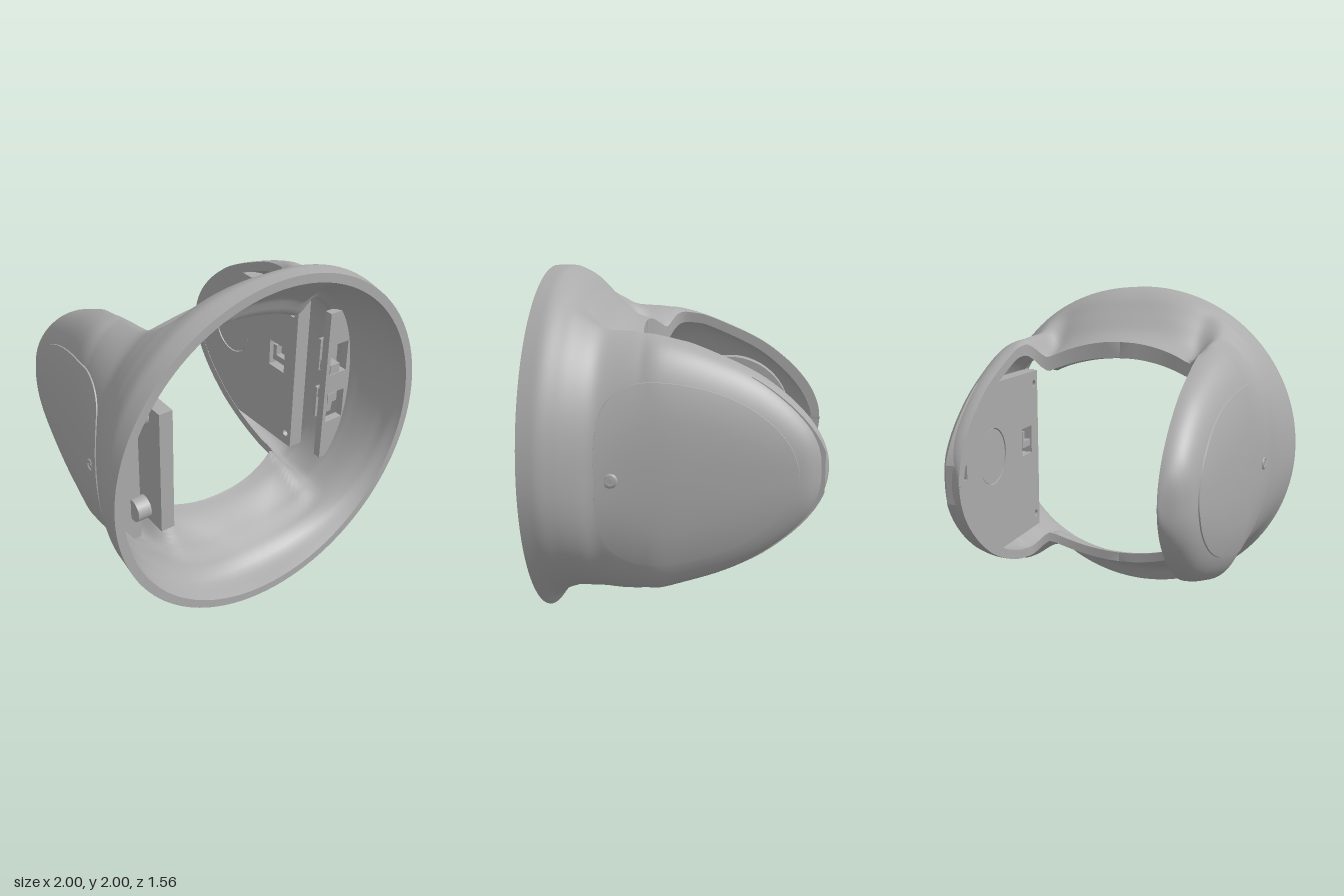
import * as THREE from 'three';

const grey = new THREE.MeshStandardMaterial({ color: 0xababab, side: THREE.DoubleSide });
grey.name = 'satin grey';

// Monotone cubic interpolation of [z, value] stations, listed from front to back
function curve(st) {
  const d = st.slice(1).map((p, i) => (p[1] - st[i][1]) / (p[0] - st[i][0]));
  const m = st.map((p, i) => {
    if (i === 0) return d[0];
    if (i === st.length - 1) return d[i - 1];
    return d[i - 1] * d[i] <= 0 ? 0 : (2 * d[i - 1] * d[i]) / (d[i - 1] + d[i]);
  });
  return (z) => {
    let i = 0;
    while (i < st.length - 2 && z < st[i + 1][0]) i++;
    const h = st[i + 1][0] - st[i][0];
    const t = Math.min(1, Math.max(0, (z - st[i][0]) / h)), u = 1 - t;
    return st[i][1] * (1 + 2 * t) * u * u + h * m[i] * t * u * u +
      st[i + 1][1] * t * t * (3 - 2 * t) - h * m[i + 1] * t * t * u;
  };
}

// Half width, heights above and below the axis, roundness and flat half width
const tail = [[-0.2, 0.595], [-0.4, 0.5], [-0.54, 0.4], [-0.645, 0.3], [-0.72, 0.2], [-0.765, 0.1], [-0.776, 0.05], [-0.78, 0.002]];
const width = curve([[0.78, 1], [0.7, 1], [0.6, 0.975], [0.5, 0.935], [0.4, 0.888], [0, 0.83], [-0.4, 0.765], [-0.65, 0.71], [-0.73, 0.65], [-0.78, 0.556]]);
const above = curve([[0.78, 1], [0.7, 1], [0.58, 0.945], [0.48, 0.86], [0.37, 0.775], [0.2, 0.72], [0, 0.67], ...tail]);
const below = curve([[0.78, 1], [0.7, 0.89], [0.63, 0.845], [0.5, 0.805], [0.2, 0.72], [0, 0.66], ...tail]);
const power = curve([[0.78, 2], [0.5, 2.25], [0.2, 2.6], [-0.78, 2.4]]);
const flat = curve([[0.78, 0], [0.6, 0.05], [0.45, 0.2], [0.3, 0.36], [0.15, 0.49], [0.05, 0.55], [-0.78, 0.55]]);
const wall = curve([[0.78, 0.05], [0.7, 0.07], [0.4, 0.06], [-0.78, 0.05]]);
const roofWall = curve([[0.78, 0.05], [0.6, 0.06], [0.41, 0.075], [0.36, 0.14], [0.25, 0.095], [0, 0.06], [-0.78, 0.05]]);

// Saddle between the arms: sinks towards the foot of each arm
const saddleDepth = curve([[0.78, 0], [0.62, 0], [0.5, 0.05], [0.3, 0.13], [0.08, 0.12], [-0.05, 0], [-0.78, 0]]);
function saddle(x, z) {
  const t = Math.min(1, Math.max(0, (x - 0.44) / 0.14));
  const arc = 0.3 + 0.7 * Math.pow(Math.min(1, x / 0.44), 2);
  return saddleDepth(z) * arc * (1 - t * t * (3 - 2 * t));
}

// Half width of the rounded slot between the arms
const slot = (z) => z >= 0.25 ? 0 : z <= 0.05 ? 0.55 : 0.55 * Math.pow(1 - Math.pow((z - 0.05) / 0.2, 2.5), 0.4);

// Grid of points to a smooth surface
function loft(rows) {
  const n = rows[0].length, index = [];
  for (let i = 0; i < rows.length - 1; i++) {
    for (let j = 0; j < n - 1; j++) {
      const a = i * n + j, b = a + n;
      index.push(a, b, a + 1, a + 1, b, b + 1);
    }
  }
  const g = new THREE.BufferGeometry();
  g.setAttribute('position', new THREE.Float32BufferAttribute(rows.flat(2), 3));
  g.setIndex(index);
  g.computeVertexNormals();
  return g;
}

function add(parent, name, geometry, x = 0, y = 0, z = 0) {
  const mesh = new THREE.Mesh(geometry, grey);
  mesh.name = name;
  mesh.position.set(x, y, z);
  parent.add(mesh);
}

// Half of a cross-section, from the top slot edge round the side to the bottom one
function section(z, side, inner) {
  const c = Math.max(flat(z), slot(z)), e = 2 / power(z), pts = [];
  const a = Math.max(width(z) - (inner ? wall(z) : 0), c + 0.003);
  const zz = inner && z < 0 ? z * 0.94 : z;
  for (const s of [1, -1]) {
    const t = inner ? (s > 0 ? roofWall(z) : wall(z)) : 0;
    const b = Math.max((s > 0 ? above : below)(z) - t, 0.001);
    const half = [];
    const put = (x, y) => half.push([side * x, 1 + s * (y - saddle(x, z)), zz]);
    for (let i = 0; i < 14; i++) put(slot(z) + (c - slot(z)) * i / 14, b);
    for (let i = 0; i <= 36; i++) {
      const q = (i / 36) * Math.PI / 2;
      put(c + (a - c) * Math.pow(Math.sin(q), e), b * Math.pow(Math.max(0, Math.cos(q)), e));
    }
    pts.push(...(s > 0 ? half : half.reverse().slice(1)));
  }
  return pts;
}

const stations = [];
for (let i = 0; i < 32; i++) stations.push(0.78 - 0.53 * i / 32);
for (let i = 0; i <= 14; i++) stations.push(0.05 + 0.2 * Math.pow(Math.max(0, Math.cos(i / 14 * Math.PI / 2)), 0.8));
for (let i = 1; i <= 32; i++) stations.push(0.05 - 0.83 * Math.sin(i / 32 * Math.PI / 2));

// Extruded (z, y) outline, thickness running along x
function plateX(shape, depth) {
  return new THREE.ExtrudeGeometry(shape, { depth, bevelEnabled: false, curveSegments: 32 }).rotateY(Math.PI / 2);
}
const outline = (pts) => new THREE.Shape(pts.map(([z, y]) => new THREE.Vector2(-z, y)));
const roundHole = (z, y, r) => new THREE.Path().absarc(-z, y, r, 0, Math.PI * 2, true);
const boxHole = (x, y, w, h) => new THREE.Path([[-1, -1], [-1, 1], [1, 1], [1, -1]].map(([i, j]) => new THREE.Vector2(x + i * w / 2, y + j * h / 2)));
const rodX = (r, len) => new THREE.CylinderGeometry(r, r, len, 24).rotateZ(Math.PI / 2);
const ringX = (r0, r1, len) => new THREE.LatheGeometry(
  [[r0, -len / 2], [r1, -len / 2], [r1, len / 2], [r0, len / 2], [r0, -len / 2]].map(([r, h]) => new THREE.Vector2(r, h)), 40).rotateZ(Math.PI / 2);

function shellHalf(parent, side) {
  const outer = stations.map((z) => section(z, side, false));
  const inner = stations.map((z) => section(z, side, true));
  for (const [name, rows] of [['outerShell', outer], ['innerShell', inner]]) {
    const g = loft(rows), p = g.attributes.position, n = g.attributes.normal;
    for (let i = 0; i < p.count; i++) if (Math.abs(p.getX(i)) < 1e-5) n.setX(i, 0);
    add(parent, name, g);
  }
  add(parent, 'frontRim', loft([outer[0], inner[0]]));
  const last = outer[0].length - 1;
  for (const j of [0, last]) add(parent, 'slotRim', loft([outer.map((r) => r[j]), inner.map((r) => r[j])]));
}

// Egg-shaped access panel that follows the outside of the arm
function sidePanel(parent, side) {
  const half = [[0.41, 0], [0.408, 0.2], [0.36, 0.38], [0.24, 0.47], [0.08, 0.488], [-0.2, 0.43], [-0.4, 0.33], [-0.55, 0.19], [-0.605, 0.08], [-0.62, 0]];
  const loop = [...half, ...half.slice(1, -1).reverse().map(([z, y]) => [z, -y])];
  const edge = new THREE.CatmullRomCurve3(loop.map(([z, y]) => new THREE.Vector3(0, y, z)), true).getPoints(96);
  const ring = (k, lift) => edge.map((p) => {
    const z = -0.05 + (p.z + 0.05) * k, y = p.y * k;
    const b = (y > 0 ? above : below)(z), c = Math.max(flat(z), slot(z)), n = power(z);
    const x = c + (width(z) - c) * Math.pow(Math.max(0, 1 - Math.pow(Math.abs(y) / b, n)), 1 / n);
    return [side * (x + lift), 1 + y, z];
  });
  add(parent, 'sidePanel', loft([0.001, 0.2, 0.4, 0.6, 0.75, 0.9, 1].map((k) => ring(k, 0.007))));
  add(parent, 'panelEdge', loft([ring(1, 0.007), ring(1.008, -0.01)]));
  add(parent, 'panelScrew', ringX(0.022, 0.038, 0.02), side * (width(0.33) + 0.002), 1, 0.33);
  add(parent, 'screwCore', rodX(0.014, 0.02), side * (width(0.33) + 0.001), 1, 0.33);
}

// Wall across the front of the arm cavity, with two pockets on one side
function bulkhead(parent, side) {
  const s = new THREE.Shape([[0.65, 0.48], [0.77, 0.48], [0.83, 0.7], [0.86, 1], [0.83, 1.3], [0.77, 1.48], [0.65, 1.48]].map(([x, y]) => new THREE.Vector2(side * x, y)));
  if (side > 0) for (const y of [0.835, 1.165]) s.holes.push(boxHole(0.74, y, 0.13, 0.2));
  add(parent, 'bulkhead', new THREE.ExtrudeGeometry(s, { depth: 0.05, bevelEnabled: false }), 0, 0, 0.38);
  for (const d of [-1, 1]) {
    if (side > 0) {
      add(parent, 'pocketFloor', new THREE.BoxGeometry(0.14, 0.21, 0.02), 0.74, 1 + d * 0.165, 0.33);
      add(parent, 'pocketPeg', new THREE.BoxGeometry(0.07, 0.06, 0.1), 0.715, 1 + d * 0.1, 0.38);
    } else add(parent, 'screwBoss', rodX(0.065, 0.08), -0.67, 1 + d * 0.3, 0.45);
  }
}

// Closed cover on the inside of the left arm
function innerCover(parent) {
  const zs = [0.26];
  for (let i = 0; i <= 32; i++) zs.push(0.2 - 0.955 * Math.sin(i / 32 * Math.PI / 2));
  const h = (z) => Math.min(0.5, Math.max(0.01, below(z) - 0.02));
  const s = outline([...zs.map((z) => [z, 1 + h(z)]), ...zs.reverse().map((z) => [z, 1 - h(z)])]);
  s.holes.push(roundHole(-0.37, 1.08, 0.165), boxHole(-0.09, 1.08, 0.14, 0.17), boxHole(0.7, 1.06, 0.035, 0.08));
  for (const d of [-1, 1]) s.holes.push(roundHole(0.21, 1 + d * 0.42, 0.022));
  add(parent, 'innerCover', plateX(s, 0.09), 0.552);
  add(parent, 'coverCap', rodX(0.16, 0.04), 0.576, 1.08, -0.37);
  add(parent, 'coverBack', new THREE.BoxGeometry(0.02, 0.22, 0.2), 0.63, 1.08, 0.09);
  add(parent, 'latchStem', new THREE.BoxGeometry(0.04, 0.04, 0.11), 0.58, 1.06, 0.1);
  add(parent, 'latchTip', new THREE.BoxGeometry(0.04, 0.09, 0.03), 0.58, 1.1, 0.06);
}

// Bearing plate on the inside of the right arm
function bearingPlate(parent) {
  const pts = [[0.61, 0.63], [0.61, 1.37]];
  for (let i = 0; i <= 28; i++) {
    const q = Math.PI / 2 + 0.1 + (i / 28) * (Math.PI - 0.2);
    pts.push([-0.2 + 0.39 * Math.cos(q), 1 + 0.39 * Math.sin(q)]);
  }
  const s = outline(pts);
  s.holes.push(roundHole(-0.21, 1, 0.19));
  for (const d of [-1, 1]) s.holes.push(roundHole(0.46, 1 + d * 0.3, 0.03));
  add(parent, 'bearingPlate', plateX(s, 0.08), -0.63);
  add(parent, 'bearingOuterRace', ringX(0.155, 0.182, 0.075), -0.588, 1, -0.21);
  add(parent, 'bearingSeal', ringX(0.13, 0.157, 0.04), -0.595, 1, -0.21);
  add(parent, 'bearingInnerRace', ringX(0.1, 0.132, 0.09), -0.595, 1, -0.21);
  for (const d of [-1, 1]) add(parent, 'locatingPin', rodX(0.03, 0.1), -0.55, 1 + d * 0.17, 0.47);
}

export function createModel() {
  const model = new THREE.Group();
  model.name = 'forkedRingHousing';
  for (const side of [1, -1]) {
    const half = new THREE.Group();
    half.name = side > 0 ? 'leftHalf' : 'rightHalf';
    model.add(half);
    shellHalf(half, side);
    sidePanel(half, side);
    bulkhead(half, side);
    if (side > 0) innerCover(half);
    else bearingPlate(half);
  }
  return model;
}
